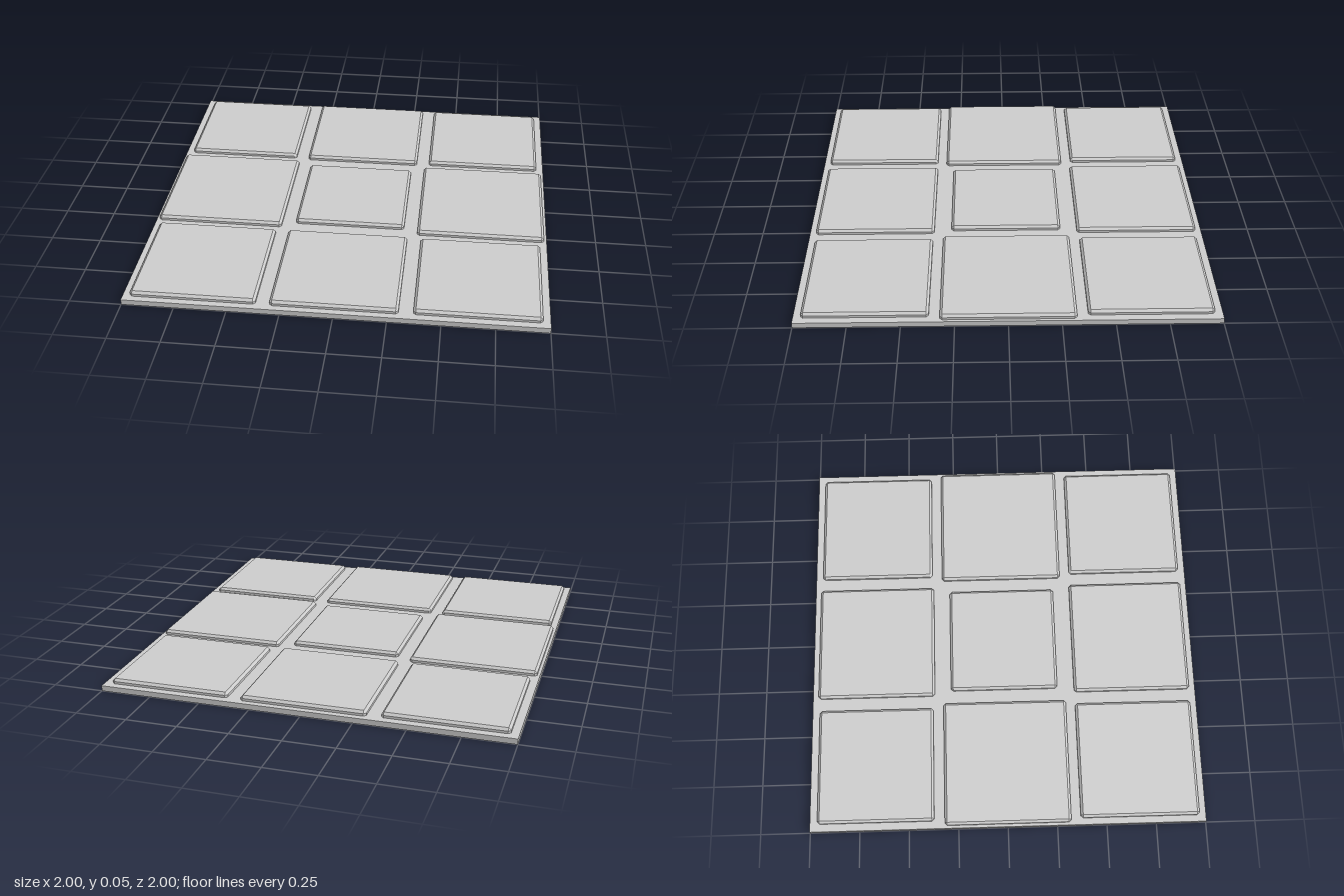
import * as THREE from 'three';
import { ConvexGeometry } from 'three/addons/geometries/ConvexGeometry.js';

const BASE_TOP = 0.027, TILE_TOP = 0.051, BEVEL = 0.012;

// Square tile with chamfered top and vertical edges, set slightly into the slab
function tileGeometry(size) {
  const h = size / 2, k = h - BEVEL, points = [];
  for (const sx of [-1, 1]) for (const sz of [-1, 1]) {
    points.push(new THREE.Vector3(sx * k, TILE_TOP, sz * k));
    for (const y of [TILE_TOP - BEVEL, BASE_TOP - 0.01]) {
      points.push(new THREE.Vector3(sx * h, y, sz * k));
      points.push(new THREE.Vector3(sx * k, y, sz * h));
    }
  }
  return new ConvexGeometry(points);
}

export function createModel() {
  const group = new THREE.Group();
  group.name = 'tiledFloorPanel';
  const material = new THREE.MeshStandardMaterial({ color: 0xcccccc, flatShading: true });

  // Base slab
  const base = new THREE.Mesh(new THREE.BoxGeometry(2, BASE_TOP, 2), material);
  base.position.y = BASE_TOP / 2;
  base.name = 'baseSlab';
  group.add(base);

  // Tile sizes, rows from back to front, columns from -x to +x
  const sizes = [
    [0.59, 0.608, 0.592],
    [0.638, 0.557, 0.638],
    [0.6, 0.603, 0.594],
  ];
  const rows = ['back', 'middle', 'front'], columns = ['Right', 'Centre', 'Left'];
  sizes.forEach((row, r) => row.forEach((size, c) => {
    const tile = new THREE.Mesh(tileGeometry(size), material);
    tile.position.set((c - 1) * 0.667, 0, (r - 1) * 0.667);
    tile.name = rows[r] + columns[c] + 'Tile';
    group.add(tile);
  }));
  return group;
}
